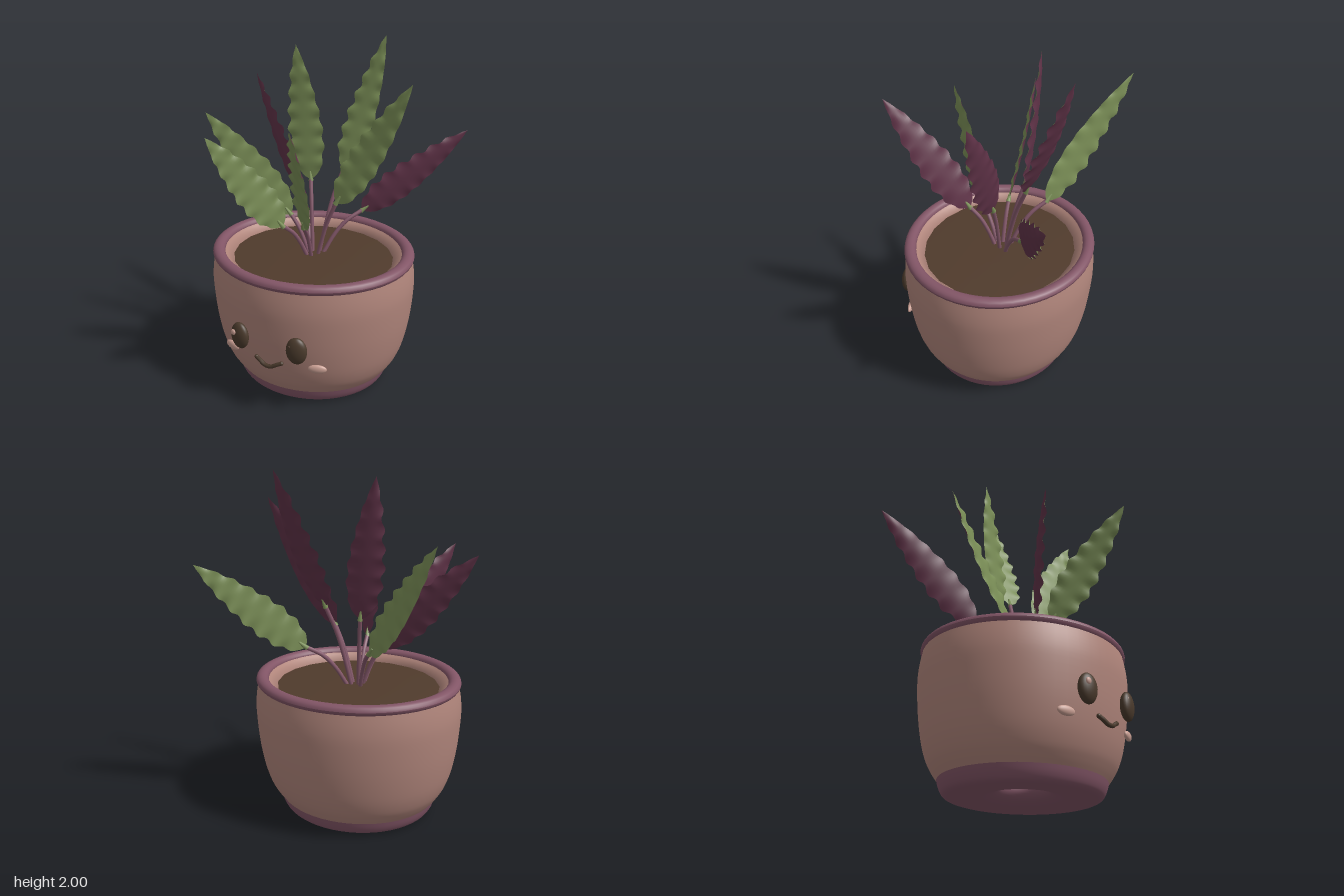
import * as THREE from 'three';

const mat = (name, color) => {
  const m = new THREE.MeshStandardMaterial({ color });
  m.name = name;
  return m;
};

export function createModel() {
  const clay = mat('clay', 0xb0857b);
  const mauve = mat('mauve', 0x825566);
  const soilBrown = mat('soilBrown', 0x503b2c);
  const faceBrown = mat('faceBrown', 0x4a3a2c);
  const blush = mat('blush', 0xc89e92);
  const leafGreen = mat('leafGreen', 0x7b8f57);
  const leafPurple = mat('leafPurple', 0x603348);
  const stemPink = mat('stemPink', 0x84586a);

  const model = new THREE.Group();
  model.name = 'pottedPlant';
  const add = (parent, name, geometry, material) => {
    const mesh = new THREE.Mesh(geometry, material);
    mesh.name = name;
    parent.add(mesh);
    return mesh;
  };
  const vec = (p) => new THREE.Vector3(...p);
  const profile = (pts) => pts.map((p) => new THREE.Vector2(...p));
  const smooth = (pts, n) => new THREE.SplineCurve(profile(pts)).getPoints(n);

  // Slightly oval pot: wall, hollow inside, ring-shaped foot, rim and soil
  const pot = new THREE.Group();
  pot.name = 'pot';
  pot.position.set(-0.022, 0, -0.027);
  pot.scale.z = 0.92;
  model.add(pot);
  const lathe = (name, pts, material, sides = 56) => add(pot, name, new THREE.LatheGeometry(pts, sides), material);
  lathe('potWall', smooth([[0.476, 0.09], [0.506, 0.13], [0.538, 0.185], [0.57, 0.28], [0.597, 0.43],
    [0.611, 0.6], [0.607, 0.7], [0.592, 0.79]], 28), clay);
  lathe('potInside', profile([[0.545, 0.805], [0.52, 0.79], [0.482, 0.755], [0.472, 0.6], [0.45, 0.3],
    [0.4, 0.16], [0.3, 0.11], [0.125, 0.1]]), clay);
  lathe('potFoot', smooth([[0.125, 0.1], [0.13, 0.07], [0.158, 0.04], [0.22, 0.018], [0.32, 0.004],
    [0.39, 0.004], [0.44, 0.016], [0.464, 0.05], [0.478, 0.095]], 32), mauve);
  const rimPoints = [];
  for (let i = 0; i <= 16; i++) {
    const a = (i / 16) * Math.PI * 2;
    rimPoints.push(new THREE.Vector2(0.569 + 0.037 * Math.cos(a), 0.798 + 0.029 * Math.sin(a)));
  }
  lathe('rim', rimPoints, mauve);
  lathe('soil', profile([[0.482, 0.755], [0.35, 0.762], [0.18, 0.767], [0, 0.768]]), soilBrown, 22);

  // Face: eyes with glints, cheeks and a smile
  const face = new THREE.Group();
  face.name = 'face';
  model.add(face);
  const ball = new THREE.SphereGeometry(1, 24, 16);
  const blob = (name, material, pos, size, turn = 0) => {
    const b = add(face, name, ball, material);
    b.position.set(...pos);
    b.scale.set(...size);
    b.rotation.y = turn;
  };
  for (const s of [-1, 1]) {
    const side = s > 0 ? 'left' : 'right';
    const eyeX = -0.02 + s * 0.18;
    blob(side + 'Eye', faceBrown, [eyeX, 0.45, 0.526], [0.06, 0.081, 0.034], s * 0.2);
    blob(side + 'EyeGlint', blush, [eyeX - 0.027, 0.477, 0.55 - s * 0.002], [0.017, 0.018, 0.009], -0.2);
    blob(side + 'Cheek', blush, [-0.02 + s * 0.275, 0.325, 0.462], [0.053, 0.026, 0.016], s * 0.3);
  }
  const smile = new THREE.CatmullRomCurve3([[-0.1, 0.336, 0.518], [-0.07, 0.322, 0.526],
    [-0.045, 0.308, 0.53], [-0.02, 0.304, 0.532], [0.005, 0.308, 0.53], [0.03, 0.322, 0.526],
    [0.06, 0.336, 0.518]].map(vec));
  add(face, 'smile', new THREE.TubeGeometry(smile, 18, 0.012, 8), faceBrown);
  for (const x of [-0.1, 0.06]) blob('smileEnd', faceBrown, [x, 0.336, 0.518], [0.012, 0.012, 0.012]);

  // One side of a scalloped leaf blade; side -1 is the purple reverse
  const bladeWidth = new THREE.SplineCurve(profile([[0, 0.012], [0.06, 0.06], [0.2, 0.094], [0.38, 0.1],
    [0.58, 0.083], [0.78, 0.054], [0.92, 0.023], [1, 0]]));
  const widths = bladeWidth.getPoints(140);
  const widthAt = (t) => {
    const i = widths.findIndex((p) => p.x >= t - 1e-6);
    return Math.max(0, widths[i < 0 ? 140 : i].y);
  };
  const blade = (base, tip, normalHint, side, phase) => {
    const axis = tip.clone().sub(base);
    const dir = axis.clone().normalize();
    const across = new THREE.Vector3().crossVectors(dir, normalHint).normalize();
    const normal = new THREE.Vector3().crossVectors(across, dir);
    const g = new THREE.PlaneGeometry(2, 1, 8, 54);
    const p = g.attributes.position;
    const v = new THREE.Vector3();
    for (let i = 0; i < p.count; i++) {
      const s = p.getX(i) * side;
      const t = p.getY(i) + 0.5;
      const wave = Math.sin(t * Math.PI * 15 + phase + (s > 0 ? 0.8 : 0));
      const fade = Math.min(1, 6 * (1 - t), 8 * t);
      const w = widthAt(t) * (1 + 0.1 * wave * fade);
      const lift = s * s * (0.004 + 0.007 * wave) * fade + side * 0.008 * (1 - s * s) * fade
        - 0.012 * Math.sin(Math.PI * t);
      v.copy(base).addScaledVector(axis, t).addScaledVector(across, s * w).addScaledVector(normal, lift);
      p.setXYZ(i, v.x, v.y, v.z);
    }
    g.computeVertexNormals();
    return g;
  };

  // Leaves: blade base, tip, and the direction the green side faces
  const leaves = [
    [[0.01, 1.01, 0.155], [0.165, 1.69, 0.585], [-0.6, -0.31, 0.72]],
    [[0.08, 1.26, -0.225], [0.21, 2.0, -0.5], [-0.25, 0.377, 0.9]],
    [[-0.1, 1.19, -0.15], [-0.21, 1.96, -0.18], [0.15, 0.06, 0.98]],
    [[0.12, 1.11, -0.045], [0.53, 1.82, -0.09], [-0.2, 0.18, 0.95]],
    [[-0.21, 1.03, -0.25], [-0.71, 1.69, -0.565], [0.6, 0.08, -0.78]],
    [[0.2, 1.01, -0.245], [0.71, 1.485, -0.56], [-0.5, 0.12, -0.67]],
    [[-0.17, 1.0, -0.02], [-0.705, 1.56, 0.03], [0.3, 0.2, 0.9]],
    [[-0.13, 0.99, 0.15], [-0.42, 1.55, 0.45], [0.68, 0.06, 0.55]],
  ];
  const centre = new THREE.Vector3(-0.025, 0.755, -0.035);
  leaves.forEach(([b, t, n], i) => {
    const leaf = new THREE.Group();
    leaf.name = 'leaf' + (i + 1);
    model.add(leaf);
    const base = vec(b), tip = vec(t), hint = vec(n);
    add(leaf, 'bladeGreen', blade(base, tip, hint, 1, i), leafGreen);
    add(leaf, 'bladePurple', blade(base, tip, hint, -1, i), leafPurple);

    // Stem rises from the soil, then bends out to the blade, more so when it leans far
    const reach = base.clone().sub(centre);
    const bend = 0.14 * Math.min(1, Math.hypot(reach.x, reach.z) / reach.y);
    const at = (h, u) => new THREE.Vector3(h, u, h).multiply(reach).add(centre);
    const path = new THREE.CatmullRomCurve3([at(0.2, 0), at(0.42, 0.3 + bend),
      at(0.66, 0.62 + bend), at(1, 1)]);
    add(leaf, 'stem', new THREE.TubeGeometry(path, 10, 0.012, 8), stemPink);

    // Green joint where the blade starts
    const dir = tip.clone().sub(base).normalize();
    const joint = add(leaf, 'leafJoint', new THREE.CylinderGeometry(0.006, 0.015, 0.06, 8), leafGreen);
    joint.position.copy(base).addScaledVector(dir, 0.015);
    joint.quaternion.setFromUnitVectors(new THREE.Vector3(0, 1, 0), dir);
  });

  return model;
}
